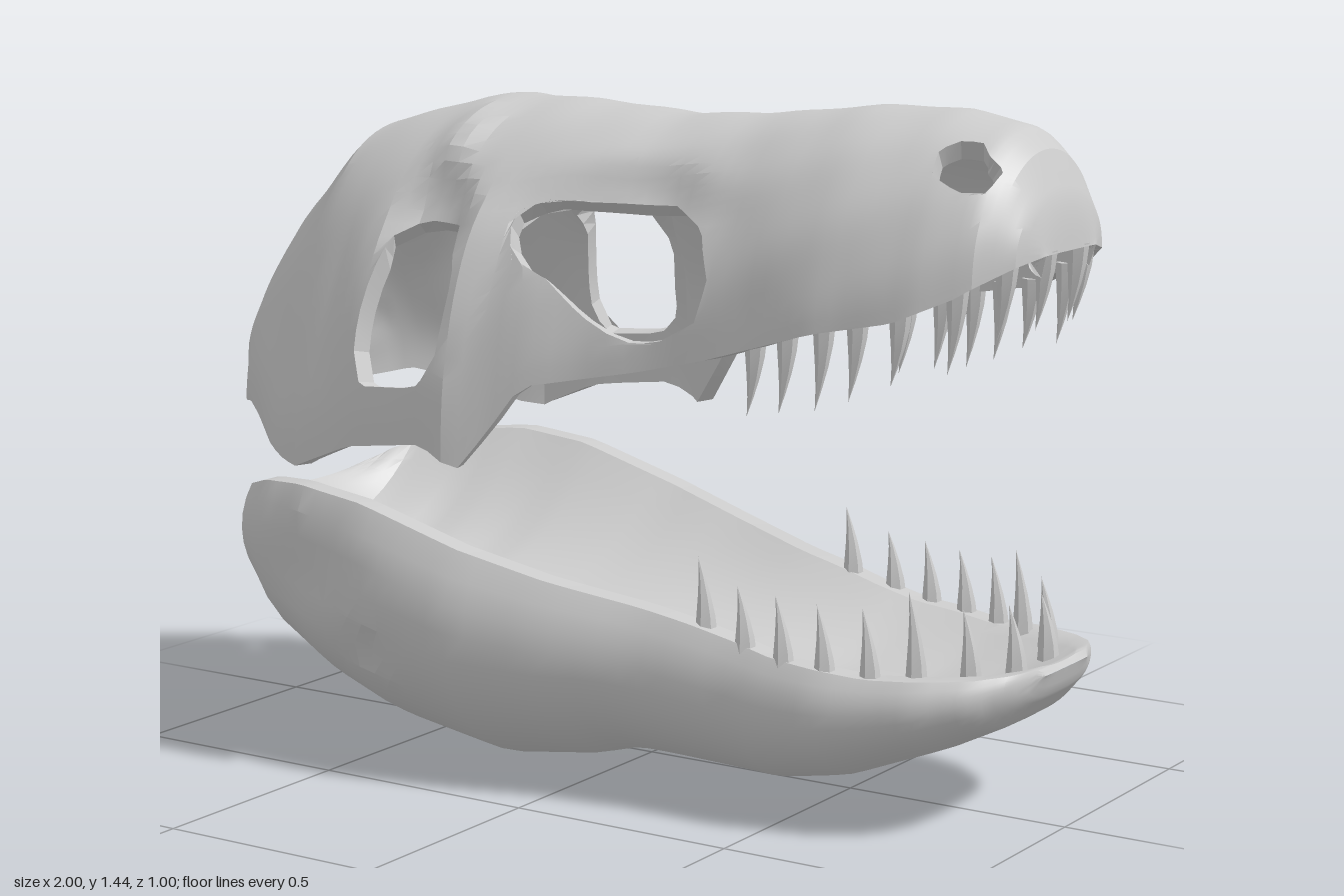
import * as THREE from 'three';
import { toCreasedNormals } from 'three/addons/utils/BufferGeometryUtils.js';

const material = new THREE.MeshStandardMaterial({ color: 0xcccccc });

// Linear lookup in a list of [x, value] pairs
function lookup(points, x) {
  if (x <= points[0][0]) return points[0][1];
  for (let i = 1; i < points.length; i++) {
    const [x0, v0] = points[i - 1], [x1, v1] = points[i];
    if (x <= x1) return v0 + (v1 - v0) * (x - x0) / (x1 - x0);
  }
  return points[points.length - 1][1];
}

// Stations along x, closer together at both ends
const station = (u, x0, x1) => (x0 + x1) / 2 - (x1 - x0) / 2 * Math.cos(Math.PI * u);

// Upper skull: roof line, lower edge and half width along x
const skullTop = [[-1, 0.73], [-0.995, 0.8], [-0.98, 0.9], [-0.92, 1.06], [-0.82, 1.2], [-0.66, 1.35], [-0.55, 1.38],
  [-0.38, 1.42], [-0.15, 1.42], [0.1, 1.4], [0.3, 1.41], [0.55, 1.44], [0.75, 1.44], [0.88, 1.415], [0.93, 1.37],
  [0.97, 1.28], [0.98, 1.23], [0.985, 1.175]];
const skullBottom = [[-1, 0.728], [-0.97, 0.72], [-0.87, 0.74], [-0.8, 0.72], [-0.66, 0.66], [-0.6, 0.65], [-0.45, 0.71],
  [-0.25, 0.735], [-0.16, 0.69], [-0.1, 0.77], [-0.03, 0.87], [0.2, 0.91], [0.35, 0.945], [0.6, 1.02], [0.76, 1.05],
  [0.87, 1.1], [0.94, 1.145], [0.985, 1.174]];
const skullWidth = [[-1, 0.08], [-0.97, 0.19], [-0.9, 0.27], [-0.8, 0.35], [-0.7, 0.43], [-0.6, 0.475], [-0.45, 0.48],
  [-0.18, 0.5], [0, 0.43], [0.2, 0.365], [0.35, 0.35], [0.6, 0.355], [0.8, 0.31], [0.9, 0.26], [0.96, 0.19], [0.985, 0.11]];

// Openings in the side of the skull: centre and outline in (x, y)
const openings = [
  { c: [0.13, 1.12], p: [[-0.11, 1.22], [-0.05, 1.25], [0.22, 1.25], [0.31, 1.2], [0.35, 1.1], [0.33, 1.02], [0.24, 0.97],
    [0.17, 0.97], [0.08, 1.02], [0, 1.09], [-0.08, 1.12], [-0.11, 1.17]] },
  { c: [-0.33, 1.02], p: [[-0.4, 1.18], [-0.33, 1.2], [-0.25, 1.19], [-0.21, 1.08], [-0.22, 0.9], [-0.27, 0.85],
    [-0.42, 0.84], [-0.45, 0.92], [-0.44, 1.02]] },
  { c: [0.845, 1.345], p: [[0.78, 1.37], [0.8, 1.39], [0.85, 1.39], [0.91, 1.34], [0.9, 1.3], [0.85, 1.3], [0.79, 1.33]] },
];

// Swellings and hollows: x, y, radius in x, radius in y, height
const swellings = [[-0.33, 1.35, 0.05, 0.06, 0.025], [-0.32, 1.19, 0.09, 0.09, -0.05], [-0.69, 1.02, 0.17, 0.24, -0.03],
  [0.1, 1.24, 0.22, 0.07, -0.035], [-0.95, 0.88, 0.04, 0.06, 0.012], [-0.17, 1.1, 0.04, 0.15, 0.012]];

// Moves a point lying inside an opening out to its rim; null when outside
function pushToRim({ c, p }, x, y) {
  const dx = x - c[0], dy = y - c[1];
  for (let i = 0; i < p.length; i++) {
    const a = p[i], b = p[(i + 1) % p.length];
    const ax = a[0] - c[0], ay = a[1] - c[1], ex = b[0] - a[0], ey = b[1] - a[1];
    const det = dx * ey - dy * ex;
    if (Math.abs(det) < 1e-9) continue;
    const s = (ax * ey - ay * ex) / det, t = (ax * dy - ay * dx) / det;
    if (s > 0 && t >= 0 && t <= 1) return s > 1 ? [c[0] + dx * s, c[1] + dy * s] : null;
  }
  return null;
}

// Point on the outside of the skull; angle 0 is the roof, +-90 degrees the lower edges
function skullPoint(x, angle) {
  const bottom = lookup(skullBottom, x), c = Math.cos(angle), s = Math.sin(angle);
  const p = new THREE.Vector3(x, bottom + (lookup(skullTop, x) - bottom) * c, lookup(skullWidth, x) * s);
  // slight unevenness of the bone
  let f = 0.004 * Math.sin(23 * x + 5 * Math.abs(angle)) * Math.sin(9 * angle * Math.sign(angle) - 11 * x) * (1 - x * x);
  for (const [bx, by, rx, ry, amount] of swellings) {
    const d = ((x - bx) / rx) ** 2 + ((p.y - by) / ry) ** 2;
    f += amount * Math.exp(-d * d);
  }
  p.z += f * s;
  p.y += f * c * 0.6;
  return p;
}

// Outward normal of the skull from nearby points
function skullNormal(x, angle) {
  const e = 0.01;
  const along = skullPoint(Math.min(x + e, 0.985), angle).sub(skullPoint(Math.max(x - e, -1), angle));
  const across = skullPoint(x, Math.max(angle - e, -Math.PI / 2)).sub(skullPoint(x, Math.min(angle + e, Math.PI / 2)));
  return along.cross(across).normalize();
}

// Indexed triangles with edges sharper than the crease angle kept
function creased(positions, index, crease) {
  const g = new THREE.BufferGeometry();
  g.setAttribute('position', new THREE.Float32BufferAttribute(positions, 3));
  g.setIndex(index);
  return toCreasedNormals(g, crease);
}

// Hollow arched shell with side openings and a solid rim
function skullGeometry() {
  const nx = 84, nt = 52, row = nt + 1, thickness = 0.045;
  const outer = [], inner = [], hole = [], faces = [], edges = new Map();
  for (let i = 0; i <= nx; i++) {
    for (let j = 0; j <= nt; j++) {
      let x = station(i / nx, -1, 0.985);
      let angle = Math.PI / 2 - Math.PI * j / nt;
      const bottom = lookup(skullBottom, x);
      const y = bottom + (lookup(skullTop, x) - bottom) * Math.cos(angle);
      const rim = openings.map((o) => pushToRim(o, x, y)).find((q) => q);
      if (rim) {
        x = rim[0];
        const b = lookup(skullBottom, x);
        angle = Math.sign(angle) * Math.acos(Math.min(1, (rim[1] - b) / (lookup(skullTop, x) - b)));
      }
      const p = skullPoint(x, angle);
      outer.push(...p);
      inner.push(...p.addScaledVector(skullNormal(x, angle), -thickness));
      hole.push(Boolean(rim));
    }
  }
  const count = hole.length;
  const addFace = (...t) => {
    if (t.every((v) => hole[v])) return;
    faces.push(...t, t[0] + count, t[2] + count, t[1] + count);
    t.forEach((a, m) => edges.set(a + '_' + t[(m + 1) % 3], [a, t[(m + 1) % 3]]));
  };
  for (let i = 0; i < nx; i++) {
    for (let j = 0; j < nt; j++) {
      const a = i * row + j, b = a + row;
      addFace(a, b, b + 1);
      addFace(a, b + 1, a + 1);
    }
  }
  // Rim along every open edge
  for (const [a, b] of edges.values()) {
    if (!edges.has(b + '_' + a)) faces.push(b, a, a + count, b, a + count, b + count);
  }
  return creased(outer.concat(inner), faces, 0.3);
}

// Lower jaw: rim line, underside, half width, squareness and depth of the trough along x
const jawTop = [[-0.925, 0.5], [-0.92, 0.52], [-0.88, 0.55], [-0.75, 0.59], [-0.62, 0.6], [-0.45, 0.58], [-0.2, 0.51], [0, 0.46],
  [0.3, 0.4], [0.5, 0.35], [0.7, 0.33], [0.9, 0.34], [0.985, 0.35], [0.997, 0.336]];
const jawBottom = [[-0.925, 0.499], [-0.92, 0.45], [-0.9, 0.35], [-0.85, 0.27], [-0.75, 0.18], [-0.6, 0.1], [-0.45, 0.04],
  [-0.2, 0], [0, 0.03], [0.1, 0.06], [0.45, 0.05], [0.6, 0.08], [0.8, 0.16], [0.92, 0.22], [0.98, 0.285], [0.997, 0.335]];
const jawWidth = [[-0.925, 0.2], [-0.9, 0.29], [-0.85, 0.36], [-0.75, 0.44], [-0.6, 0.49], [-0.45, 0.5], [-0.2, 0.495],
  [0, 0.45], [0.2, 0.385], [0.4, 0.355], [0.6, 0.355], [0.8, 0.31], [0.9, 0.255], [0.96, 0.19], [0.997, 0.09]];
const jawPower = [[-0.2, 0.8], [0.4, 0.62]];
const troughDepth = [[-0.925, 0], [-0.85, 0.14], [-0.7, 0.22], [-0.5, 0.23], [-0.2, 0.17], [0, 0.13], [0.5, 0.08],
  [0.85, 0.04], [0.997, 0]];

// Solid jaw lofted from closed sections: round underside, rim, shallow trough
function jawGeometry() {
  const nx = 64, no = 24, ni = 14, row = no + ni + 2, maxAngle = 2.1;
  const pos = [], index = [];
  for (let i = 0; i <= nx; i++) {
    const x = station(i / nx, -0.925, 0.997);
    const top = lookup(jawTop, x), bottom = lookup(jawBottom, x);
    const width = lookup(jawWidth, x), power = lookup(jawPower, x), depth = lookup(troughDepth, x);
    for (let j = 0; j <= no; j++) {
      const angle = maxAngle * (2 * j / no - 1);
      const y = bottom + (top - bottom) * (1 - Math.cos(angle)) / (1 - Math.cos(maxAngle));
      const s = Math.sin(angle);
      const dent = 1 - 0.08 * Math.exp(-(((x + 0.6) / 0.17) ** 2) - ((y - 0.42) / 0.1) ** 2)
        - 0.05 * Math.exp(-(((x + 0.42) / 0.07) ** 2) - ((y - 0.27) / 0.04) ** 2);
      pos.push(x, y, width * Math.sign(s) * Math.abs(s) ** power * dent);
    }
    const rim = width * Math.sin(maxAngle) ** power;
    const inner = Math.max(rim - 0.05, rim * 0.5);
    for (let j = 0; j <= ni; j++) {
      const s = 1 - 2 * j / ni;
      pos.push(x, top - depth * (1 - s * s), inner * s);
    }
  }
  for (let i = 0; i < nx; i++) {
    for (let j = 0; j < row; j++) {
      const a = i * row + j, d = i * row + (j + 1) % row;
      index.push(a, a + row, d + row, a, d + row, d);
    }
  }
  return creased(pos, index, 0.4);
}

// Six-sided fang with its tip curving toward the back of the mouth
function toothGeometry(length, radius) {
  const g = new THREE.ConeGeometry(radius, length, 6, 4);
  g.translate(0, length / 2, 0);
  const p = g.attributes.position;
  for (let i = 0; i < p.count; i++) {
    const t = p.getY(i) / length;
    const bulge = 1 + 0.6 * t * (1 - t);
    p.setXYZ(i, p.getX(i) * bulge - 0.02 * t * t, p.getY(i), p.getZ(i) * bulge);
  }
  return toCreasedNormals(g, 0.5);
}

// Tooth rows: x, z and length, mirrored to both sides
const upperTeeth = [[0.45, 0.31, 0.13], [0.53, 0.32, 0.14], [0.61, 0.315, 0.15], [0.68, 0.305, 0.14], [0.76, 0.28, 0.12],
  [0.86, 0.235, 0.14], [0.93, 0.165, 0.12], [0.965, 0.07, 0.13]];
const lowerTeeth = [[0.33, 0.3, 0.13], [0.43, 0.31, 0.11], [0.52, 0.31, 0.12], [0.61, 0.3, 0.12], [0.7, 0.275, 0.13],
  [0.78, 0.23, 0.16], [0.87, 0.17, 0.12], [0.92, 0.07, 0.11]];

function addTeeth(parent, name, rows, baseLine, up) {
  const group = new THREE.Group();
  group.name = name;
  for (const [x, z, length] of rows) {
    const geometry = toothGeometry(length + 0.03, 0.023);
    if (up < 0) geometry.scale(1, -1, -1);
    for (const side of [1, -1]) {
      const tooth = new THREE.Mesh(geometry, material);
      tooth.name = 'tooth';
      tooth.position.set(x, lookup(baseLine, x) - 0.02 * up, z * side);
      group.add(tooth);
    }
  }
  parent.add(group);
}

export function createModel() {
  const model = new THREE.Group();
  model.name = 'dinosaurSkull';
  const skull = new THREE.Mesh(skullGeometry(), material);
  skull.name = 'upperSkull';
  const jaw = new THREE.Mesh(jawGeometry(), material);
  jaw.name = 'lowerJaw';
  model.add(skull, jaw);
  addTeeth(model, 'upperTeeth', upperTeeth, skullBottom, -1);
  addTeeth(model, 'lowerTeeth', lowerTeeth, jawTop, 1);
  return model;
}
